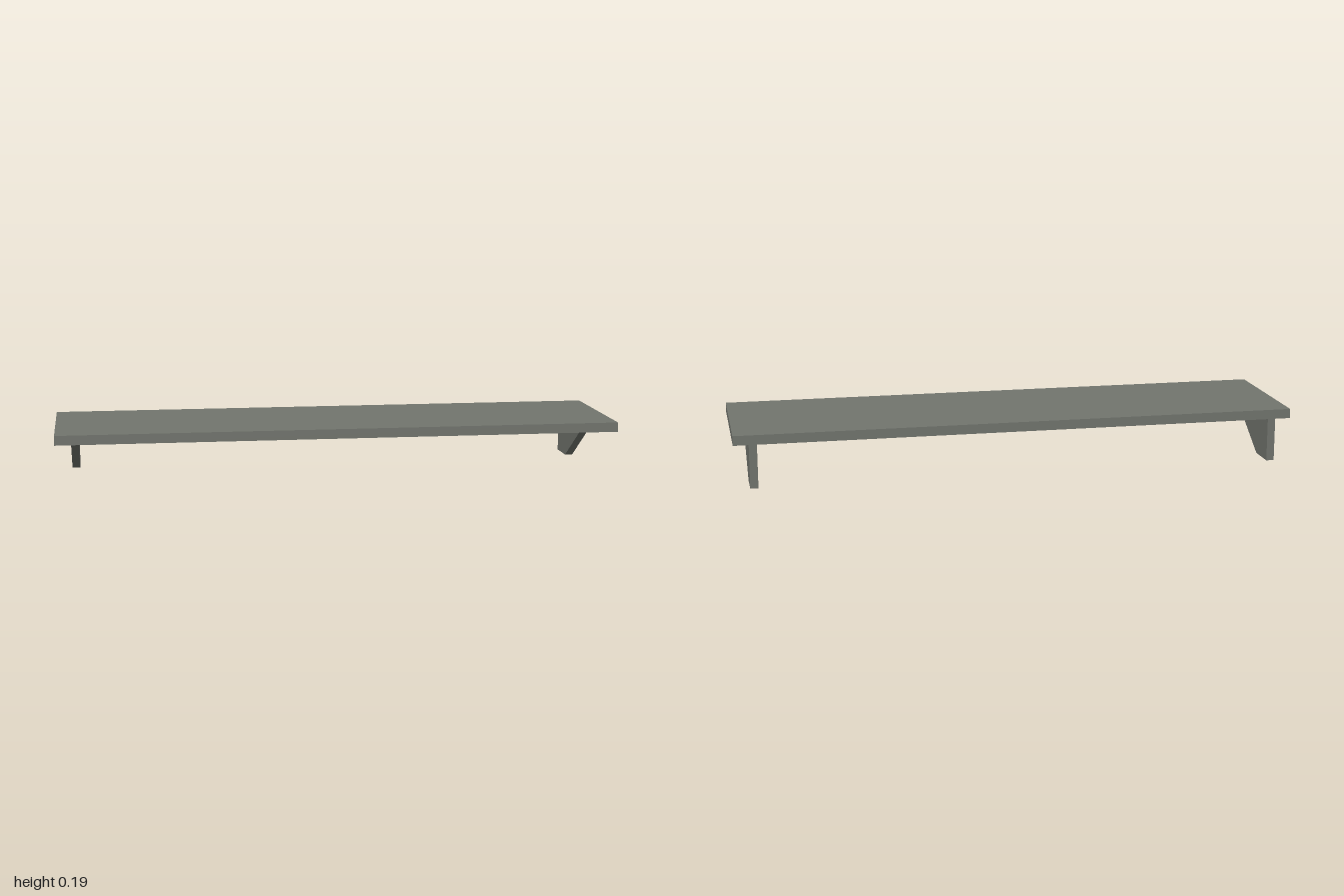
import * as THREE from 'three';

export function createModel() {
  const model = new THREE.Group();
  model.name = 'wallShelf';

  const greyPaint = new THREE.MeshStandardMaterial({ color: 0x72756e });
  greyPaint.name = 'greyPaint';

  // Flat board
  const underside = 0.156, top = 0.19, depth = 0.506;
  const board = new THREE.Mesh(new THREE.BoxGeometry(2, top - underside, depth), greyPaint);
  board.name = 'shelfBoard';
  board.position.y = (underside + top) / 2;
  model.add(board);

  // Bracket profile (z, y), sloping from the front of the underside to the foot
  const thickness = 0.028;
  const profile = new THREE.Shape([
    new THREE.Vector2(-0.248, 0),
    new THREE.Vector2(-0.141, 0),
    new THREE.Vector2(0.102, underside),
    new THREE.Vector2(-0.248, underside),
  ]);
  const bracketGeometry = new THREE.ExtrudeGeometry(profile, { depth: thickness, bevelEnabled: false });
  bracketGeometry.translate(0, 0, -thickness / 2);
  bracketGeometry.rotateY(-Math.PI / 2); // profile z runs along the model's z

  // One bracket near each end
  for (const [name, side] of [['leftBracket', 1], ['rightBracket', -1]]) {
    const bracket = new THREE.Mesh(bracketGeometry, greyPaint);
    bracket.name = name;
    bracket.position.x = side * 0.932;
    model.add(bracket);
  }

  return model;
}
